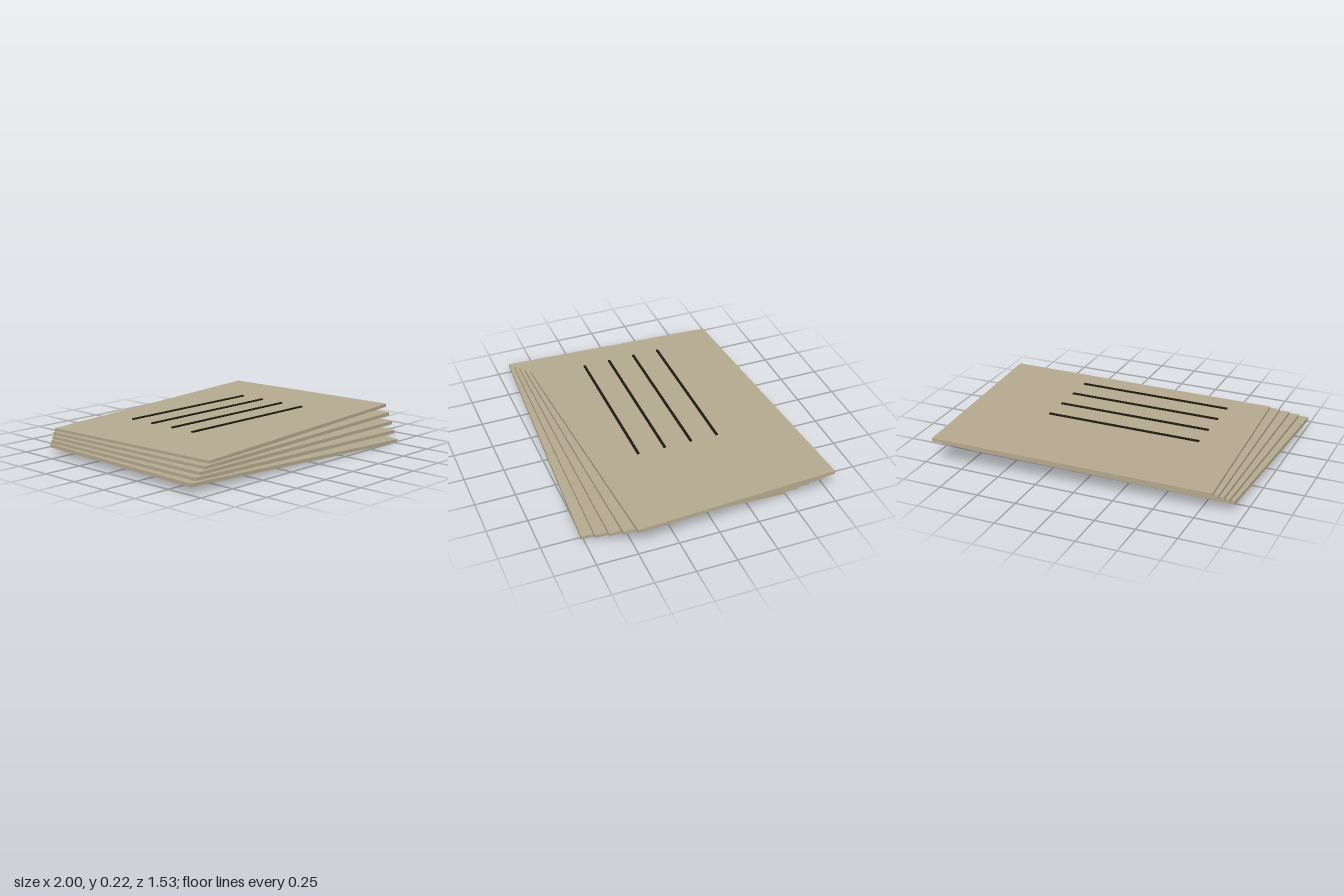
import * as THREE from 'three';

export function createModel() {
  const model = new THREE.Group();
  model.name = 'paperStack';

  const paper = new THREE.MeshStandardMaterial({ color: 0xb5a98f });
  paper.name = 'paper tan';
  const ink = new THREE.MeshStandardMaterial({ color: 0x1f1c10 });
  ink.name = 'dark ink';

  // Five sheets, each shifted, turned and tilted a little more than the one below
  const sheetGeometry = new THREE.BoxGeometry(1.77, 0.021, 1.265);
  for (let i = -2; i <= 2; i++) {
    const sheet = new THREE.Mesh(sheetGeometry, paper);
    sheet.name = `sheet${i + 3}`;
    sheet.position.set(i * 0.0425, 0.09 + i * 0.0283, i * -0.0435);
    sheet.rotation.set(0, i * 0.025, i * 0.0125);
    model.add(sheet);
  }

  // Four ruled lines floating just above the top sheet
  const lineGeometry = new THREE.BoxGeometry(0.99, 0.008, 0.015);
  for (let i = 0; i < 4; i++) {
    const line = new THREE.Mesh(lineGeometry, ink);
    line.name = `textLine${i + 1}`;
    line.position.set(-0.088, 0.218, -0.234 + i * 0.169);
    model.add(line);
  }

  return model;
}
